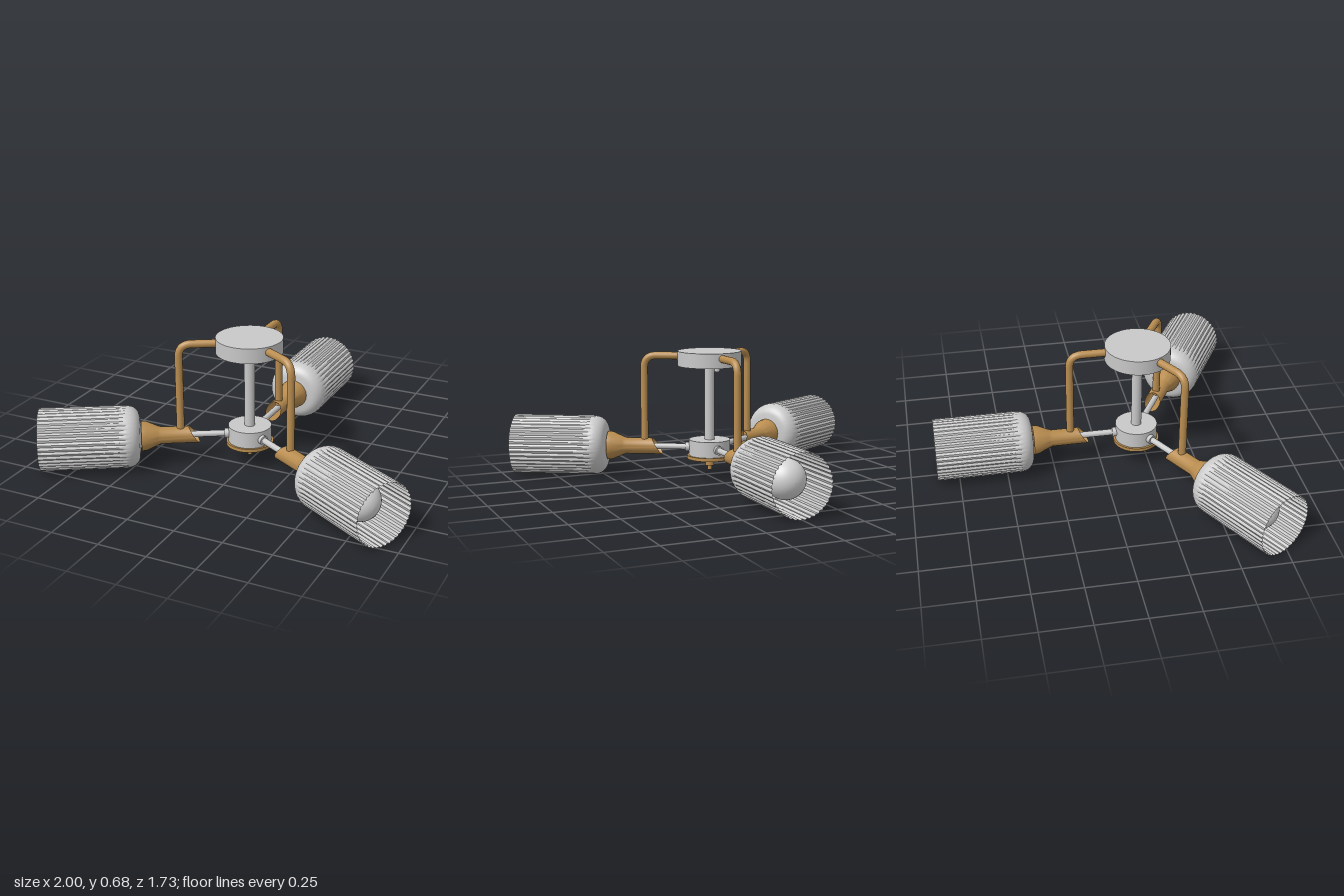
import * as THREE from 'three';
import { toCreasedNormals } from 'three/addons/utils/BufferGeometryUtils.js';

const V2 = (x, y) => new THREE.Vector2(x, y);
const V3 = (x, y, z) => new THREE.Vector3(x, y, z);

export function createModel() {
  const model = new THREE.Group();
  model.name = 'ceilingLamp';
  const material = (name, color) => {
    const m = new THREE.MeshStandardMaterial({ color, side: THREE.DoubleSide });
    m.name = name;
    return m;
  };
  const brass = material('brass', 0xb98d50);
  const metal = material('pale grey metal', 0xc9c9c9);
  const glass = material('ribbed shade grey', 0xcbcbcb);
  const white = material('bulb white', 0xd4d4d4);

  const add = (parent, name, geometry, mat) => {
    const mesh = new THREE.Mesh(geometry, mat);
    mesh.name = name;
    parent.add(mesh);
    return mesh;
  };
  // upright cylinder between two heights
  const post = (name, r, y0, y1, mat, x = 0, z = 0) => {
    const mesh = add(lamp, name, new THREE.CylinderGeometry(r, r, y1 - y0, 48), mat);
    mesh.position.set(x, (y0 + y1) / 2, z);
  };

  const lamp = new THREE.Group();
  lamp.name = 'fixture';
  lamp.position.z = 0.195;
  model.add(lamp);

  // centre column
  post('canopy', 0.169, 0.605, 0.683, metal);
  post('stemCollar', 0.034, 0.588, 0.607, metal);
  post('stem', 0.027, 0.2, 0.6, metal);
  post('hub', 0.11, 0.124, 0.208, metal);
  post('hubPlate', 0.121, 0.106, 0.124, brass);
  post('finial', 0.024, 0.066, 0.108, brass);
  post('finialTip', 0.011, 0.042, 0.068, brass);
  for (const z of [-0.1, 0.105]) post('canopyScrew', 0.014, 0.583, 0.607, metal, 0, z);

  // arm parts lie along +x of each arm
  const axisY = 0.165;
  const alongX = (g) => g.rotateZ(-Math.PI / 2).translate(0, axisY, 0);

  // bent tube from canopy side down to the holder
  const path = new THREE.CurvePath();
  path.add(new THREE.LineCurve3(V3(0.15, 0.655, 0), V3(0.285, 0.655, 0)));
  path.add(new THREE.QuadraticBezierCurve3(V3(0.285, 0.655, 0), V3(0.352, 0.655, 0), V3(0.352, 0.588, 0)));
  path.add(new THREE.LineCurve3(V3(0.352, 0.588, 0), V3(0.352, 0.18, 0)));
  const tube = new THREE.TubeGeometry(path, 60, 0.02, 16);

  const rod = alongX(new THREE.CylinderGeometry(0.016, 0.016, 0.34, 20).translate(0, 0.27, 0));
  const rodCollar = alongX(new THREE.CylinderGeometry(0.024, 0.024, 0.03, 20).translate(0, 0.115, 0));

  // sleeve with its inner end cut on a slant, flaring into a cup
  let holder = new THREE.LatheGeometry(
    [V2(0.043, 0.255), V2(0.043, 0.45), V2(0.05, 0.47), V2(0.074, 0.525), V2(0.077, 0.55), V2(0.0, 0.552)], 40);
  const hp = holder.attributes.position;
  for (let i = 0; i < hp.count; i++) {
    if (hp.getY(i) < 0.26) hp.setY(i, 0.255 + 0.055 * (1 - hp.getX(i) / 0.043) / 2);
  }
  holder = alongX(toCreasedNormals(holder, 0.6));

  // ribbed shade: rounded base, then convex flutes to the open rim
  const profile = [V2(0.04, 0.55), V2(0.085, 0.555)];
  for (let i = 0; i <= 8; i++) {
    const a = (i / 8) * Math.PI / 2;
    profile.push(V2(0.098 + 0.062 * Math.sin(a), 0.63 - 0.073 * Math.cos(a)));
  }
  profile.push(V2(0.16, 0.66), V2(0.16, 1.06));
  const ribs = 40;
  let shade = new THREE.LatheGeometry(profile, ribs * 4);
  const sp = shade.attributes.position;
  for (let i = 0; i < sp.count; i++) {
    const x = sp.getX(i), z = sp.getZ(i);
    const depth = 0.007 * THREE.MathUtils.smoothstep(sp.getY(i), 0.59, 0.66);
    const rib = Math.abs(Math.sin(Math.atan2(z, x) * ribs / 2));
    const k = 1 - (depth * (1 - rib)) / Math.hypot(x, z);
    sp.setX(i, x * k);
    sp.setZ(i, z * k);
  }
  shade = alongX(toCreasedNormals(shade, 0.6));

  // round bulb with a neck
  const bulbProfile = [V2(0.04, 0.55), V2(0.04, 0.72), V2(0.048, 0.775)];
  for (let i = 0; i <= 16; i++) {
    const a = THREE.MathUtils.lerp(-0.95, Math.PI / 2, i / 16);
    bulbProfile.push(V2(Math.max(0, 0.1 * Math.cos(a)), 0.887 + 0.1 * Math.sin(a)));
  }
  const bulb = alongX(new THREE.LatheGeometry(bulbProfile, 32));

  for (const degrees of [90, -30, 210]) {
    const arm = new THREE.Group();
    arm.name = 'lampArm';
    arm.rotation.y = THREE.MathUtils.degToRad(degrees);
    lamp.add(arm);
    add(arm, 'bentTube', tube, brass);
    add(arm, 'rod', rod, metal);
    add(arm, 'rodCollar', rodCollar, metal);
    add(arm, 'shadeHolder', holder, brass);
    add(arm, 'shade', shade, glass);
    add(arm, 'bulb', bulb, white);
  }
  return model;
}
